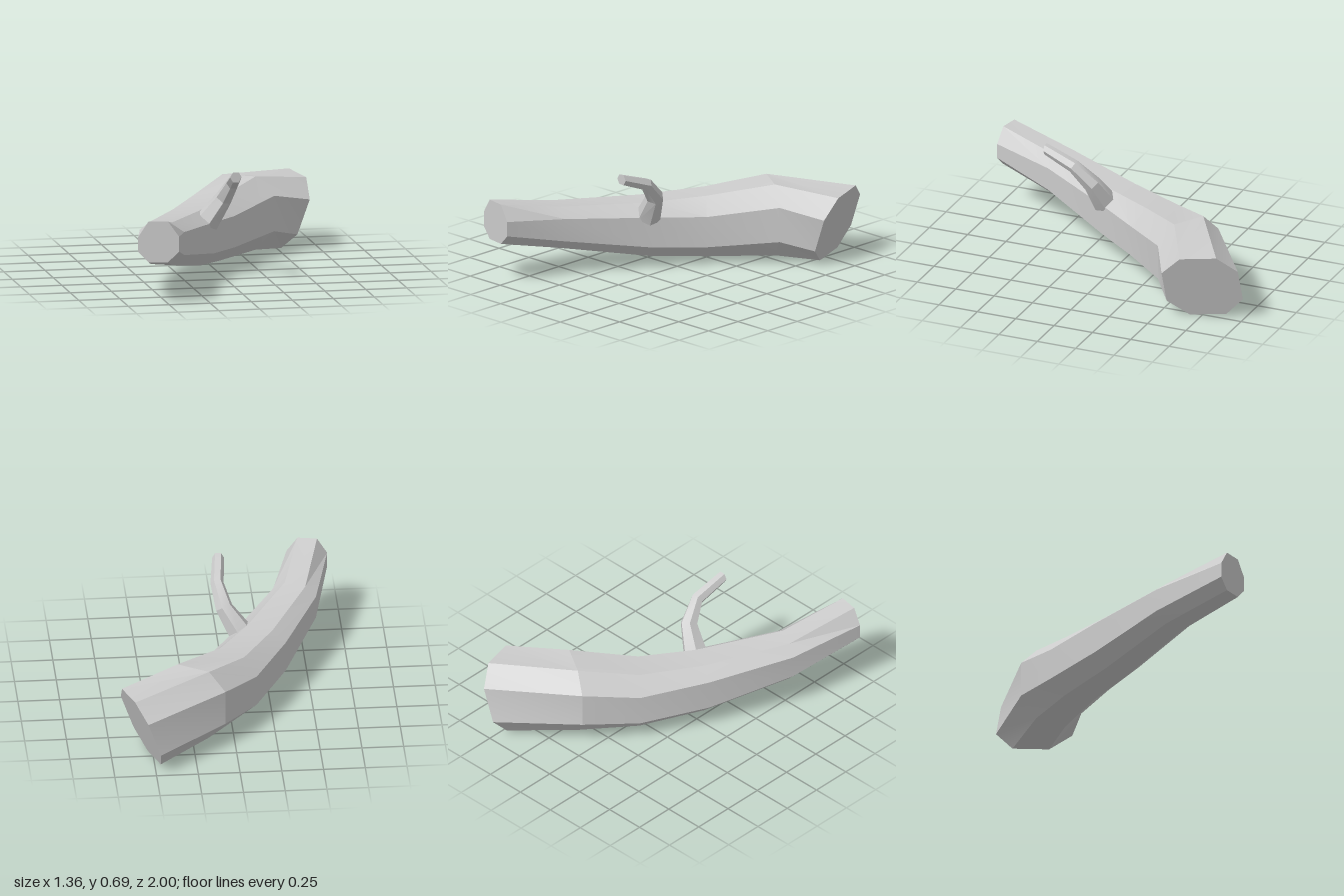
import * as THREE from 'three';
import { toCreasedNormals } from 'three/addons/utils/BufferGeometryUtils.js';

// Skin a list of rings (equal point counts, counter-clockwise seen from the first end) and cap both ends
function loft(rings, name, crease) {
  const n = rings[0].length;
  const last = (rings.length - 1) * n;
  const points = rings.flat();
  const index = [];
  for (let i = 0; i < rings.length - 1; i++) {
    for (let j = 0; j < n; j++) {
      const a = i * n + j, b = i * n + (j + 1) % n;
      index.push(a, a + n, b, b, a + n, b + n);
    }
  }
  for (let j = 1; j < n - 1; j++) {
    index.push(0, j, j + 1, last, last + j + 1, last + j);
  }
  const geometry = new THREE.BufferGeometry().setFromPoints(points);
  geometry.setIndex(index);
  const mesh = new THREE.Mesh(
    toCreasedNormals(geometry, crease),
    new THREE.MeshStandardMaterial({ color: 0xcccccc })
  );
  mesh.name = name;
  return mesh;
}

// Eight-sided log section from its right and left edges in plan and its four heights
function logRing({ right, left, y, tilt = 0, roll = 0 }) {
  const [top, upper, lower, bottom] = y;
  const mid = (top + bottom) / 2;
  const corners = [
    [0, upper], [0.27, top], [0.75, top], [1, upper],
    [1, lower], [0.75, bottom], [0.27, bottom], [0, lower],
  ];
  return corners.map(([t, h]) => new THREE.Vector3(
    THREE.MathUtils.lerp(right[0], left[0], t) + tilt * (h - mid),
    h + roll * t,
    THREE.MathUtils.lerp(right[1], left[1], t)
  ));
}

// Six-sided twig section facing along a direction
function twigRing({ at, dir, r }) {
  const turn = new THREE.Quaternion().setFromUnitVectors(
    new THREE.Vector3(0, 0, 1), new THREE.Vector3(...dir).normalize());
  return Array.from({ length: 6 }, (_, i) => {
    const a = i * Math.PI / 3;
    return new THREE.Vector3(r * Math.cos(a), r * Math.sin(a), 0)
      .applyQuaternion(turn).add(new THREE.Vector3(...at));
  });
}

export function createModel() {
  const group = new THREE.Group();
  group.name = 'log';

  // Curved trunk, from the thin front end to the thick slanted back end
  const trunk = [
    { right: [-0.44, 1.0], left: [-0.68, 0.955], y: [0.512, 0.42, 0.33, 0.265] },
    { right: [-0.33, 0.62], left: [-0.575, 0.49], y: [0.43, 0.375, 0.235, 0.17] },
    { right: [-0.05, 0.15], left: [-0.355, 0.0], y: [0.405, 0.338, 0.15, 0.07] },
    { right: [0.13, -0.12], left: [-0.15, -0.38], y: [0.42, 0.32, 0.13, 0.04] },
    { right: [0.435, -0.43], left: [0.06, -0.66], y: [0.485, 0.375, 0.16, 0.04] },
    { right: [0.64, -0.56], left: [0.51, -1.0], y: [0.425, 0.32, 0.11, 0], tilt: 0.36, roll: 0.035 },
  ];
  group.add(loft(trunk.map(logRing), 'trunk', 0.29));

  // Bent twig, from its tip back into the trunk
  const twig = [
    { at: [0.012, 0.67, 0.487], dir: [0, 0, 1], r: 0.035 },
    { at: [0.033, 0.6, 0.295], dir: [0.02, 0.5, 0.85], r: 0.04 },
    { at: [0.0, 0.49, 0.19], dir: [0.4, 0.85, 0.5], r: 0.054 },
    { at: [-0.1, 0.335, 0.145], dir: [0.45, 0.85, 0.15], r: 0.078 },
  ];
  group.add(loft(twig.map(twigRing), 'twig', 0.4));

  return group;
}
